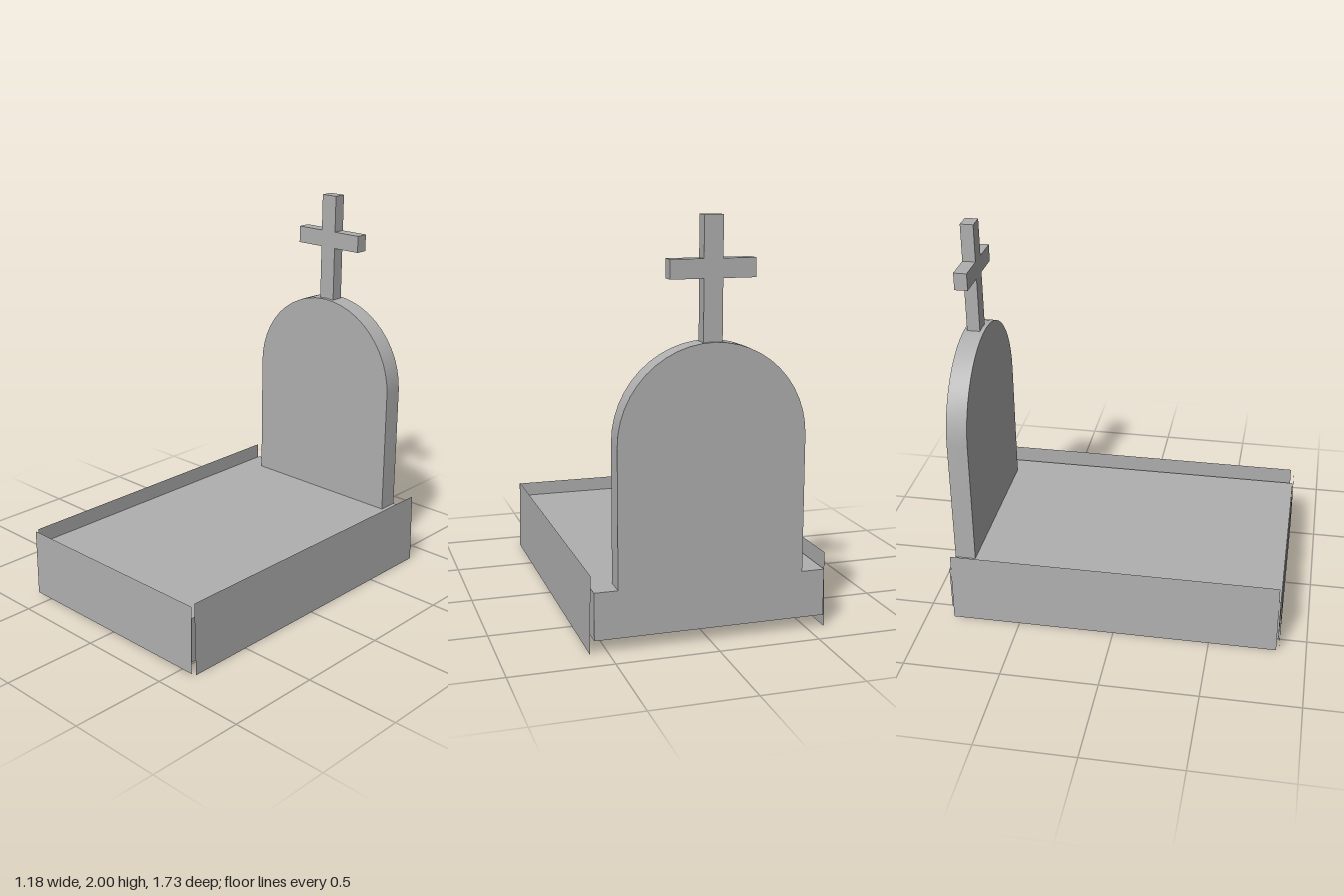
import * as THREE from 'three';
import { toCreasedNormals } from 'three/addons/utils/BufferGeometryUtils.js';

export function createModel() {
  const group = new THREE.Group();
  const stone = new THREE.MeshStandardMaterial({ color: 0xb0b0b0 });
  stone.name = 'stone';
  const thinStone = new THREE.MeshStandardMaterial({ color: 0xb0b0b0, side: THREE.DoubleSide });
  thinStone.name = 'thin stone';

  const add = (name, geometry, material = stone) => {
    const mesh = new THREE.Mesh(geometry, material);
    mesh.name = name;
    group.add(mesh);
    return mesh;
  };
  const extrude = (shape, z0, z1) =>
    new THREE.ExtrudeGeometry(shape, { depth: z1 - z0, bevelEnabled: false, curveSegments: 12 })
      .translate(0, 0, z0);

  const cx = -0.007; // shared centre line

  // Grave slab
  add('slab', new THREE.BoxGeometry(1.145, 0.232, 1.721)).position.set(cx, 0.181, -0.0045);

  // Headstone with a half-round top, flush with the back of the slab
  const r = 0.458;
  const arch = new THREE.Shape();
  arch.moveTo(cx - r, 0.297);
  arch.lineTo(cx + r, 0.297);
  arch.lineTo(cx + r, 0.97);
  arch.absarc(cx, 0.97, r, 0, Math.PI, false);
  arch.closePath();
  add('headstone', toCreasedNormals(extrude(arch, -0.865, -0.758), 0.6));

  // Cross on top of the headstone
  const w = 0.046, arm = 0.205;
  const cross = new THREE.Shape([
    [-w, 1.42], [w, 1.42], [w, 1.715], [arm, 1.715], [arm, 1.805], [w, 1.805],
    [w, 2], [-w, 2], [-w, 1.805], [-arm, 1.805], [-arm, 1.715], [-w, 1.715],
  ].map(([x, y]) => new THREE.Vector2(cx + x, y)));
  add('cross', extrude(cross, -0.848, -0.78));

  // Thin border panels, leaning so that their feet splay outward
  const lean = 0.02;
  const front = add('frontPanel', new THREE.PlaneGeometry(1.167, 0.357), thinStone);
  front.position.set(cx + 0.002, 0.1915, 0.861);
  front.rotation.x = -lean / 4;
  for (const [name, side, x, z] of [['leftPanel', 1, 0.583, -0.01], ['rightPanel', -1, -0.587, -0.004]]) {
    const panel = add(name, new THREE.PlaneGeometry(1.703, 0.378).rotateY(side * Math.PI / 2), thinStone);
    panel.position.set(x, 0.19, z);
    panel.rotation.z = side * lean;
  }
  return group;
}
